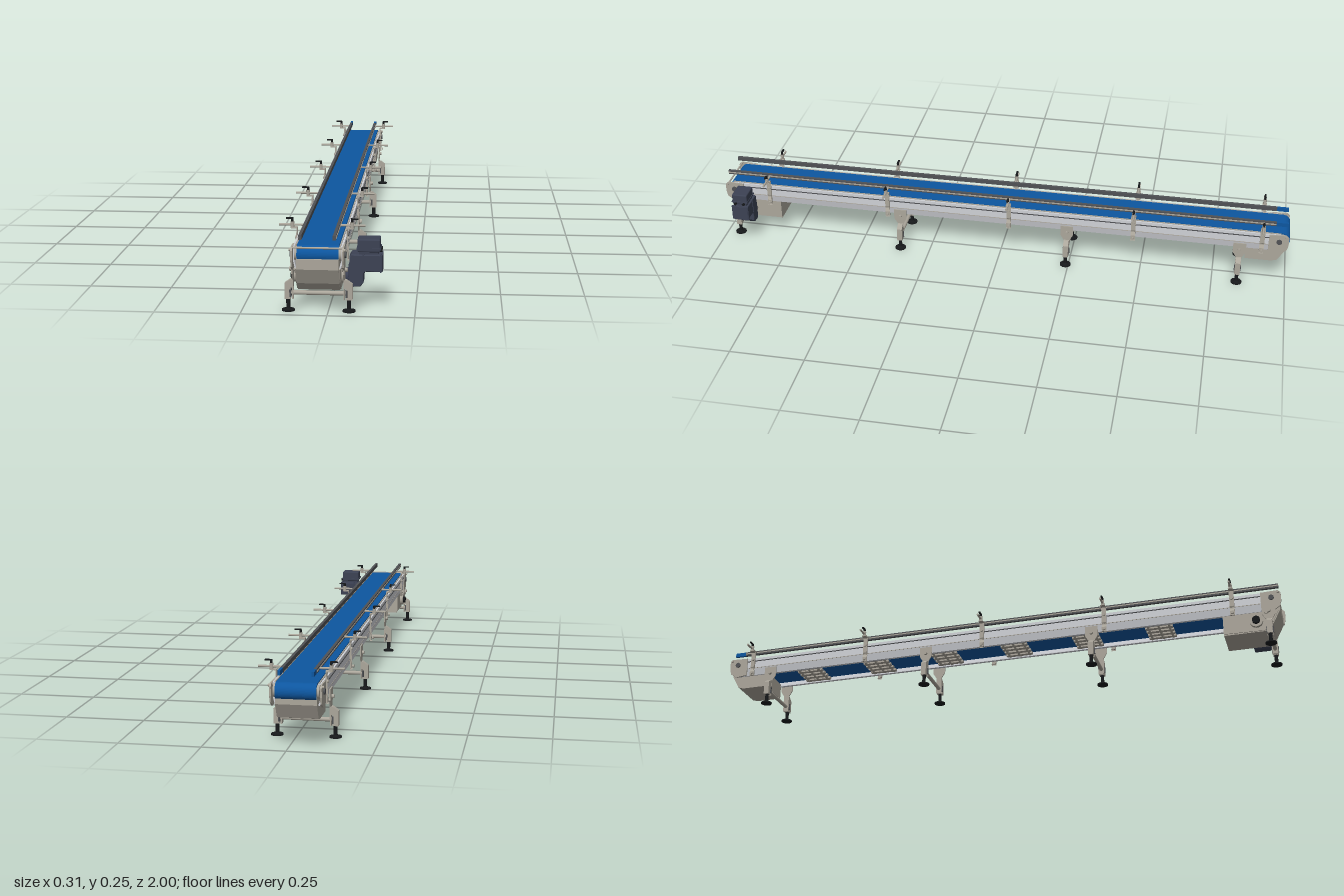
import * as THREE from 'three';
import { RoundedBoxGeometry } from 'three/addons/geometries/RoundedBoxGeometry.js';

const CX = -0.028; // centre line of the conveyor
const material = (name, color, side = THREE.FrontSide) => {
  const m = new THREE.MeshStandardMaterial({ color, side });
  m.name = name;
  return m;
};

export function createModel() {
  const blue = material('belt blue', 0x0d569f);
  const steel = material('brushed steel', 0xaba69b);
  const panel = material('light panel', 0xcfd1d6);
  const dark = material('dark rail', 0x505255);
  const slate = material('motor slate', 0x3c4254);
  const black = material('black plastic', 0x17191b);

  const root = new THREE.Group();
  root.name = 'beltConveyor';
  const group = (name, parent = root) => {
    const g = new THREE.Group();
    g.name = name;
    parent.add(g);
    return g;
  };
  const mesh = (name, geo, mat, parent = root, x = 0, y = 0, z = 0) => {
    const m = new THREE.Mesh(geo, mat);
    m.name = name;
    m.position.set(x, y, z);
    parent.add(m);
    return m;
  };
  const box = (name, w, h, d, mat, parent, x, y, z) =>
    mesh(name, new THREE.BoxGeometry(w, h, d), mat, parent, x, y, z);
  const rod = (name, axis, r, len, mat, parent, x, y, z, r2 = r) => {
    const g = new THREE.CylinderGeometry(r2, r, len, 16);
    if (axis === 'x') g.rotateZ(-Math.PI / 2);
    if (axis === 'z') g.rotateX(Math.PI / 2);
    return mesh(name, g, mat, parent, x, y, z);
  };
  const polygon = (pts) => new THREE.Shape(pts.map((p) => new THREE.Vector2(p[0], p[1])));
  // x-y section extruded along z, centred
  const alongZ = (shape, len) =>
    new THREE.ExtrudeGeometry(shape, { depth: len, bevelEnabled: false, curveSegments: 12 }).translate(0, 0, -len / 2);
  // z-y section extruded along x, centred
  const alongX = (shape, len) => alongZ(shape, len).rotateY(-Math.PI / 2);

  // Endless belt: a flat loop with round ends
  const loop = (Path, z0, z1, y, r) => {
    const s = new Path();
    s.moveTo(z0 + r, y - r);
    s.lineTo(z1 - r, y - r);
    s.absarc(z1 - r, y, r, -Math.PI / 2, Math.PI / 2, false);
    s.lineTo(z0 + r, y + r);
    s.absarc(z0 + r, y, r, Math.PI / 2, Math.PI * 1.5, false);
    return s;
  };
  const beltShape = loop(THREE.Shape, -1, 0.985, 0.172, 0.026);
  beltShape.holes.push(loop(THREE.Path, -0.995, 0.98, 0.172, 0.021));
  mesh('belt', alongX(beltShape, 0.12), blue, root, CX);
  for (const z of [-0.972, 0.957]) rod('endRoller', 'x', 0.02, 0.135, steel, root, CX, 0.172, z);
  rod('noseBar', 'x', 0.003, 0.144, steel, root, CX, 0.195, 0.985);

  // Drive housing at the front and tension housing at the rear
  mesh('driveHousing', alongX(polygon([
    [0.99, 0.162], [0.99, 0.132], [0.965, 0.085], [0.94, 0.06], [0.8, 0.06], [0.8, 0.14], [0.93, 0.145], [0.975, 0.162],
  ]), 0.122), steel, root, CX);
  mesh('tailHousing', alongX(polygon([
    [-0.99, 0.162], [-0.99, 0.135], [-0.965, 0.09], [-0.945, 0.084], [-0.855, 0.084], [-0.855, 0.14], [-0.94, 0.145], [-0.975, 0.162],
  ]), 0.122), steel, root, CX);
  rod('drivePin', 'x', 0.012, 0.15, black, root, CX, 0.096, 0.91);

  // Supports that carry the returning belt
  for (let i = 0; i < 6; i++) {
    const g = group('returnSupport');
    g.position.set(CX, 0.137, 0.58 - i * 0.256);
    for (const z of [-0.036, 0, 0.036]) rod('supportShaft', 'x', 0.004, 0.13, steel, g, 0, 0, z);
    for (let k = -2; k <= 2; k++) box('supportSkid', 0.014, 0.008, 0.094, steel, g, k * 0.025, 0.002, 0);
  }

  for (const s of [-1, 1]) {
    const X = (d) => CX + s * d;
    const section = (pts) => polygon(pts.map(([d, y]) => [X(d), y]));
    const side = group(s < 0 ? 'rightSide' : 'leftSide');

    // Side frame with a lower edge folded inwards
    mesh('sidePanel', alongZ(section([
      [0.061, 0.195], [0.072, 0.195], [0.072, 0.155], [0.066, 0.13], [0.056, 0.13], [0.056, 0.133], [0.063, 0.134], [0.068, 0.156], [0.068, 0.19], [0.061, 0.19],
    ]), 1.94), panel, side);
    box('panelSeam', 0.003, 0.003, 1.94, dark, side, X(0.0725), 0.183, 0);
    box('lowerSeam', 0.002, 0.002, 1.94, steel, side, X(0.072), 0.156, 0);
    box('wearStrip', 0.004, 0.003, 1.94, steel, side, X(0.064), 0.196, 0);

    // End plates with round bearing caps
    for (const e of [-1, 1]) {
      const plate = polygon([
        [0.93, 0.13], [0.97, 0.125], [0.992, 0.14], [0.997, 0.16], [0.997, 0.188], [0.988, 0.197], [0.93, 0.195],
      ].map(([z, y]) => [z * e, y]));
      mesh('endPlate', alongX(plate, 0.005), steel, side, X(0.0735));
      rod('bearingCap', 'x', 0.009, 0.008, dark, side, X(0.077), 0.172, e * 0.965);
      rod('endBolt', 'x', 0.004, 0.008, steel, side, X(0.077), 0.19, e * 0.988);
    }
    // Cheek plate and bearing of the drive
    mesh('driveCheek', alongX(polygon([
      [0.8, 0.065], [0.935, 0.062], [0.965, 0.09], [0.985, 0.132], [0.8, 0.132],
    ]), 0.004), steel, side, X(0.062));
    rod('driveBearing', 'x', 0.022, 0.012, steel, side, X(0.069), 0.096, 0.91);
    rod('driveBearingCap', 'x', 0.013, 0.01, black, side, X(0.079), 0.096, 0.91);
    rod('cheekKnob', 'x', 0.007, 0.014, steel, side, X(0.075), 0.122, 0.945);

    // Guide rail with a blue rear tip
    box('guideRail', 0.009, 0.014, 1.94, dark, side, X(0.049), 0.226, 0.02);
    box('railGroove', 0.002, 0.004, 1.94, steel, side, X(0.054), 0.226, 0.02);
    box('railTip', 0.008, 0.014, 0.04, blue, side, X(0.049), 0.226, -0.97);

    // Guide rail holders: bent strap, clamp, cross rod and handle
    for (const z of [0.835, 0.4, -0.035, -0.47, -0.908]) {
      const h = group('railHolder', side);
      h.position.z = z;
      mesh('strap', alongZ(section([
        [0.092, 0.219], [0.072, 0.219], [0.072, 0.16], [0.081, 0.142], [0.081, 0.122], [0.073, 0.122],
        [0.073, 0.125], [0.078, 0.125], [0.078, 0.141], [0.0725, 0.152], [0.0725, 0.155], [0.075, 0.16], [0.075, 0.216], [0.092, 0.216],
      ]), 0.016), steel, h);
      rod('crossRod', 'x', 0.0035, 0.075, steel, h, X(0.09), 0.226, 0);
      rod('clamp', 'y', 0.006, 0.02, steel, h, X(0.088), 0.226, 0);
      rod('handleStem', 'y', 0.004, 0.012, black, h, X(0.088), 0.239, 0);
      box('handle', 0.022, 0.004, 0.006, black, h, X(0.096), 0.245, 0);
      rod('strapBolt', 'x', 0.005, 0.006, steel, h, X(0.077), 0.188, 0);
      rod('lowerBolt', 'x', 0.005, 0.006, steel, h, X(0.083), 0.132, 0);
    }

    // Legs
    for (const z of [0.953, 0.355, -0.24, -0.835]) {
      const leg = group('leg', side);
      leg.position.z = z;
      mesh('legBracket', alongX(polygon([
        [-0.022, 0.15], [0.022, 0.15], [0.022, 0.115], [0.01, 0.095], [0.01, 0.036], [-0.01, 0.036], [-0.01, 0.095], [-0.022, 0.115],
      ]), 0.004), steel, leg, X(0.074));
      mesh('legTube', alongZ(section([
        [0.076, 0.095], [0.081, 0.094], [0.098, 0.082], [0.098, 0.036], [0.08, 0.036], [0.08, 0.07], [0.076, 0.07],
      ]), 0.018), steel, leg);
      rod('legBolt', 'x', 0.006, 0.01, steel, leg, X(0.079), 0.125, 0);
      rod('spindle', 'y', 0.006, 0.034, black, leg, X(0.088), 0.021, 0);
      rod('footCollar', 'y', 0.011, 0.006, black, leg, X(0.088), 0.006, 0, 0.006);
      rod('footPad', 'y', 0.019, 0.004, black, leg, X(0.088), 0.002, 0);
      box('beamFlange', 0.005, 0.022, 0.024, dark, leg, X(0.081), 0.054, 0);
    }
  }
  for (const z of [0.953, 0.355, -0.24, -0.835]) rod('crossBeam', 'x', 0.0065, 0.165, steel, root, CX, 0.054, z);

  // Gear motor on the left of the drive
  const motor = group('gearMotor');
  motor.position.z = 0.91;
  const gear = polygon([
    [0.061, 0.076], [0.066, 0.071], [0.09, 0.073], [0.097, 0.082], [0.098, 0.11], [0.104, 0.117],
    [0.152, 0.117], [0.152, 0.162], [0.066, 0.162], [0.062, 0.156], [0.062, 0.14], [0.059, 0.13],
  ]);
  mesh('gearbox', new THREE.ExtrudeGeometry(gear, {
    depth: 0.044, bevelThickness: 0.006, bevelSize: 0.003, bevelSegments: 3,
  }).translate(0, 0, -0.022), slate, motor);
  rod('outputHub', 'x', 0.024, 0.012, slate, motor, 0.054, 0.096, 0);
  box('motorEndFlange', 0.004, 0.053, 0.06, slate, motor, 0.15, 0.14, 0);
  box('gearFlange', 0.004, 0.053, 0.06, slate, motor, 0.1, 0.14, 0);
  box('terminalNeck', 0.056, 0.012, 0.044, slate, motor, 0.115, 0.168, 0);
  mesh('terminalBox', new RoundedBoxGeometry(0.066, 0.038, 0.054, 2, 0.004), slate, motor, 0.115, 0.191, 0);
  box('terminalLid', 0.07, 0.004, 0.058, slate, motor, 0.115, 0.182, 0);
  for (const dz of [-0.015, 0.015]) rod('cableGland', 'x', 0.005, 0.008, black, motor, 0.15, 0.176, dz);

  return root;
}
